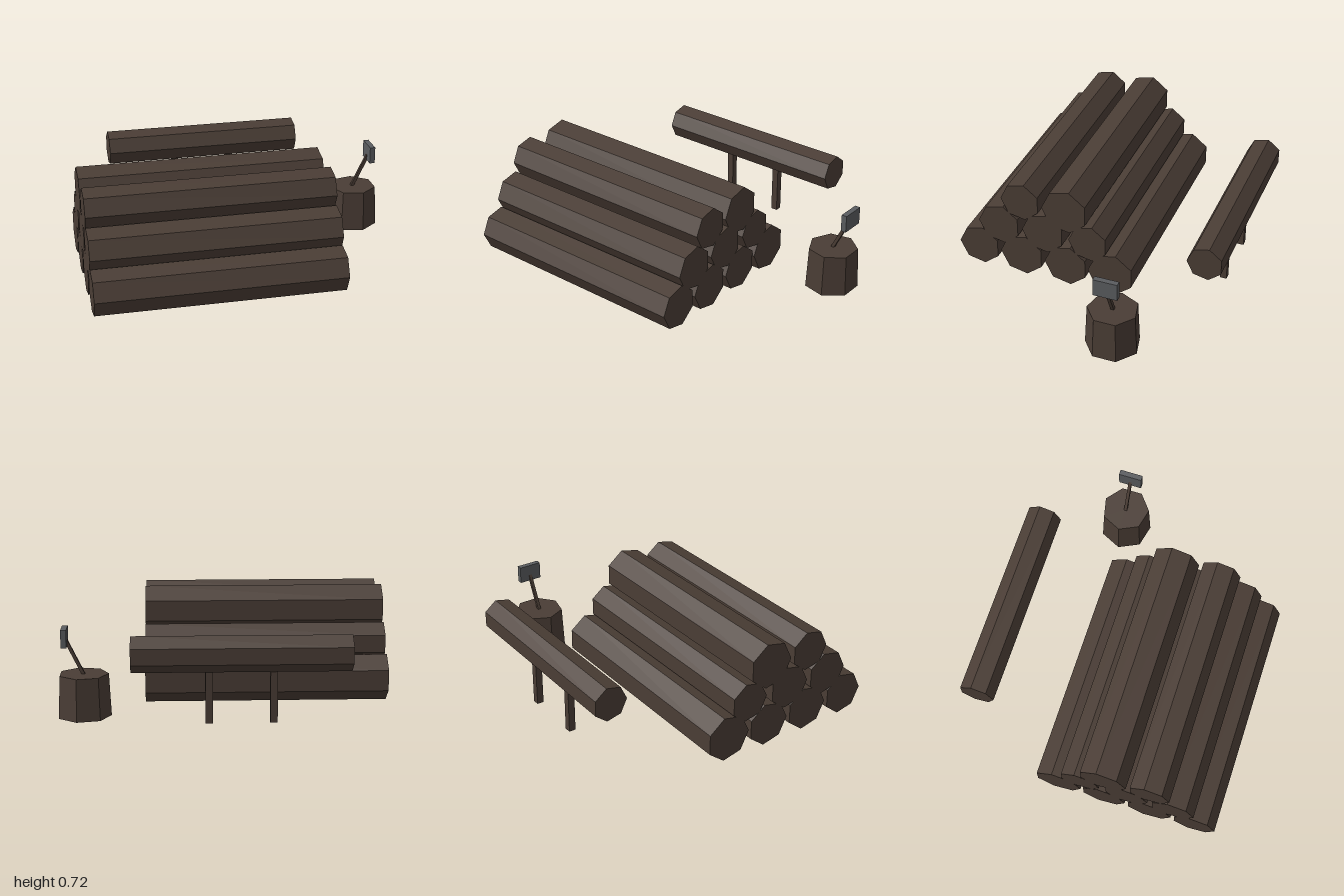
import * as THREE from 'three';

export function createModel() {
  const model = new THREE.Group();
  model.name = 'woodcutterYard';

  const wood = new THREE.MeshStandardMaterial({ color: 0x4a3d35 });
  wood.name = 'dark wood';
  const metal = new THREE.MeshStandardMaterial({ color: 0x5a5c5f });
  metal.name = 'grey metal';
  wood.flatShading = true;
  metal.flatShading = true;

  const add = (parent, name, geometry, material, x, y, z) => {
    const mesh = new THREE.Mesh(geometry, material);
    mesh.name = name;
    mesh.position.set(x, y, z);
    parent.add(mesh);
    return mesh;
  };
  const group = (name) => {
    const g = new THREE.Group();
    g.name = name;
    model.add(g);
    return g;
  };
  // Seven-sided log lying along x, one corner pointing to the front
  const logGeometry = (radius, length) =>
    new THREE.CylinderGeometry(radius, radius, length, 7).rotateZ(Math.PI / 2);

  // Log pile: z, y, radius of each log, row by row
  const pile = group('logPile');
  [
    [0.715, 0.187, 0.134], [0.43, 0.185, 0.141], [0.14, 0.181, 0.139], [-0.15, 0.19, 0.146],
    [0.573, 0.38, 0.135], [0.285, 0.382, 0.136], [-0.005, 0.381, 0.124],
    [0.427, 0.577, 0.126], [0.142, 0.573, 0.146],
  ].forEach(([z, y, r], i) => add(pile, `log${i + 1}`, logGeometry(r, 1.48), wood, -0.26, y, z));

  // Raised log on two square posts
  const rack = group('raisedLog');
  add(rack, 'beam', logGeometry(0.109, 1.255), wood, -0.077, 0.485, -0.753);
  for (const x of [-0.262, 0.108]) {
    add(rack, 'post', new THREE.BoxGeometry(0.042, 0.35, 0.042), wood, x, 0.253, -0.753);
  }

  // Tapered chopping stump
  const block = group('choppingBlock');
  const stump = add(block, 'stump', new THREE.CylinderGeometry(0.152, 0.165, 0.26, 7), wood, 0.849, 0.13, -0.309);
  stump.rotation.y = -Math.PI / 2;

  // Axe leaning out of the stump
  const axe = group('axe');
  const handle = add(axe, 'handle', new THREE.BoxGeometry(0.02, 0.28, 0.02), wood, 0.893, 0.35, -0.309);
  handle.rotation.z = -0.45;
  add(axe, 'axeHead', new THREE.BoxGeometry(0.034, 0.108, 0.147), metal, 0.958, 0.487, -0.309);

  return model;
}
